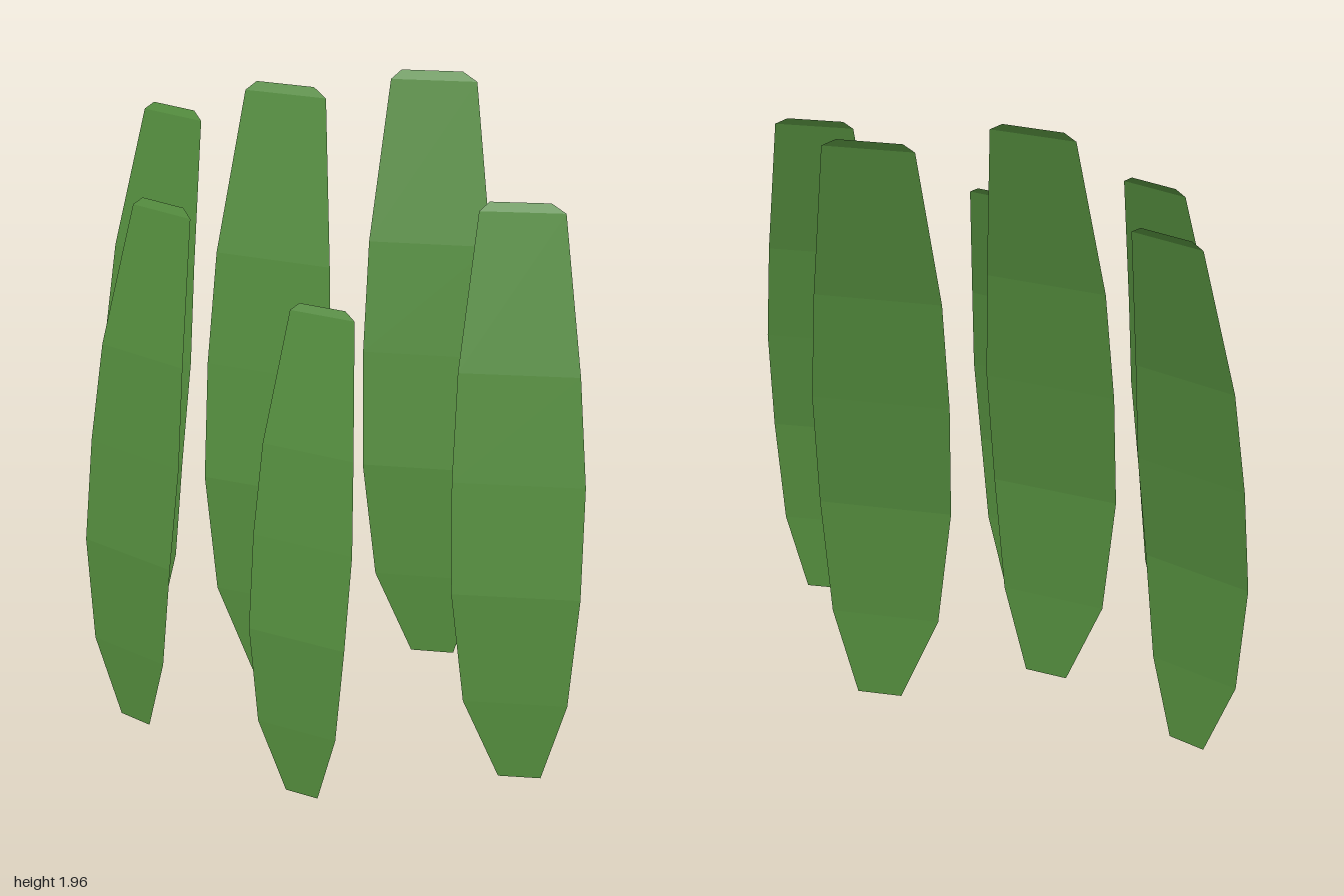
import * as THREE from 'three';

// Cross-sections of one blade: [height fraction, half width, backward bend, sideways drift]
const ROWS = [
  [0, 0.066, 0, 0],
  [0.145, 0.16, 0, -0.021],
  [0.345, 0.195, 0.018, -0.031],
  [0.54, 0.2, 0.073, -0.037],
  [0.725, 0.182, 0.135, -0.05],
  [0.986, 0.128, 0.26, -0.064],
  [1, 0.091, 0.276, -0.072],
];

// Base x, base y, base z, tip height, turn about y
const BLADES = [
  [-0.775, 0.013, -0.077, 1.763, 0.11],
  [-0.157, 0.015, 0.07, 1.957, -0.15],
  [0.217, 0.015, -0.348, 1.957, -0.38],
  [-0.365, 0.01, 0.553, 1.686, 0.13],
  [0.853, 0.013, 0.2, 1.795, -0.42],
  [0.33, 0.003, 0.635, 1.518, -0.05],
];

// Flat strip built from left and right edge points of every row
function bladeGeometry(height) {
  const scale = height / 1.78;
  const positions = [];
  const indices = [];
  ROWS.forEach(([t, half, bend, drift], i) => {
    for (const side of [-1, 1]) {
      const u = side * half;
      positions.push((drift + u) * scale, t * height + 0.02 * u, -bend * scale);
    }
    if (i > 0) {
      const a = (i - 1) * 2;
      indices.push(a, a + 1, a + 3, a, a + 3, a + 2);
    }
  });
  const geometry = new THREE.BufferGeometry();
  geometry.setAttribute('position', new THREE.Float32BufferAttribute(positions, 3));
  geometry.setIndex(indices);
  const flat = geometry.toNonIndexed();
  flat.computeVertexNormals();
  return flat;
}

export function createModel() {
  const group = new THREE.Group();
  group.name = 'grassTuft';
  const green = new THREE.MeshStandardMaterial({ color: 0x528a3c, side: THREE.DoubleSide, flatShading: true });
  green.name = 'leaf green';

  // Six separate curved blades
  BLADES.forEach(([x, y, z, top, turn], i) => {
    const blade = new THREE.Mesh(bladeGeometry(top - y), green);
    blade.name = `blade${i + 1}`;
    blade.position.set(x, y, z);
    blade.rotation.y = -turn;
    group.add(blade);
  });
  return group;
}
